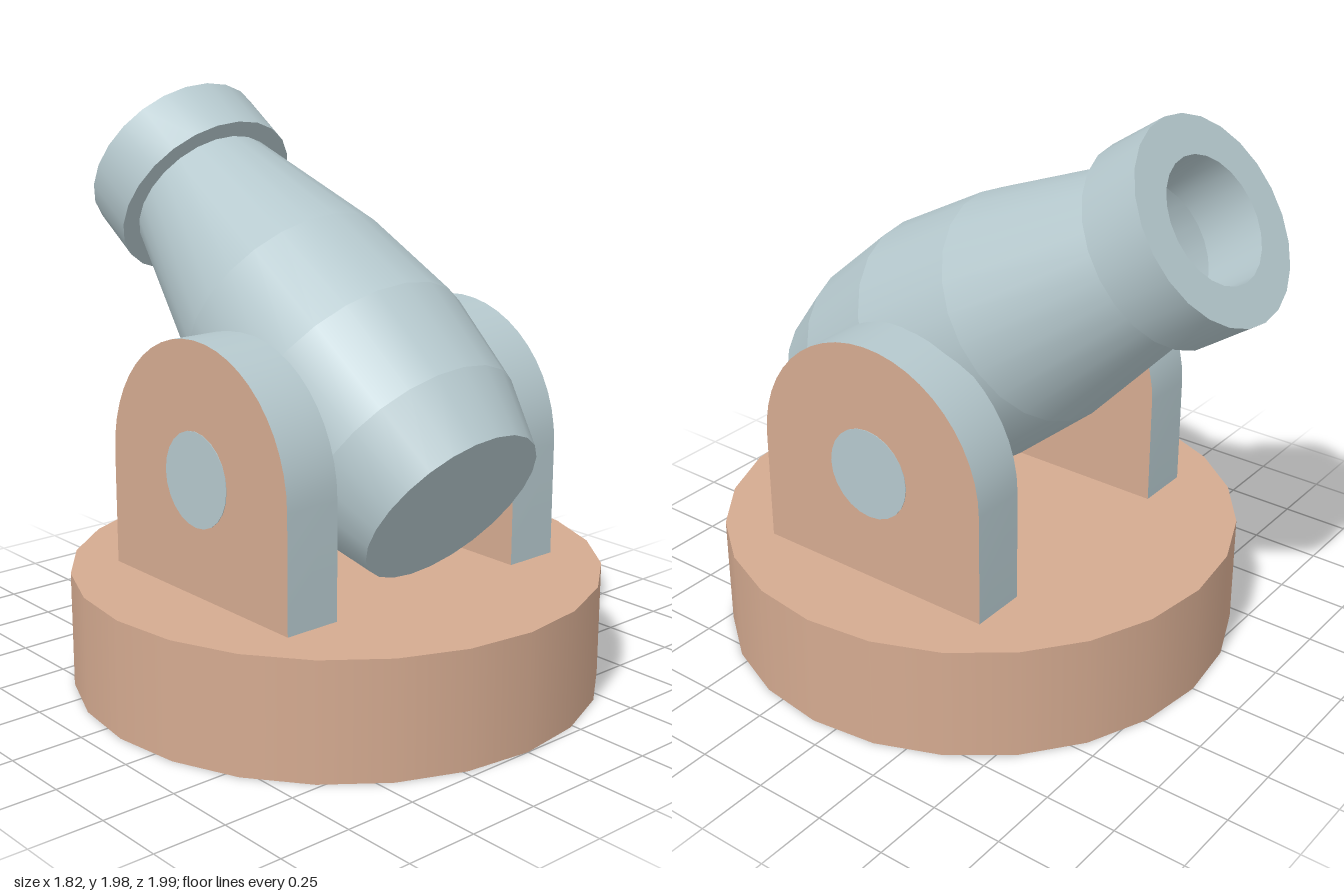
import * as THREE from 'three';
import { toCreasedNormals } from 'three/addons/utils/BufferGeometryUtils.js';

const tan = new THREE.MeshStandardMaterial({ color: 0xd4aa90 });
const steel = new THREE.MeshStandardMaterial({ color: 0xb5c8cd });
const steelShell = new THREE.MeshStandardMaterial({ color: 0xb5c8cd, side: THREE.DoubleSide });

const SIDES = 24;
const PIVOT_Z = 0.09;

function addMesh(parent, name, geometry, material) {
  const mesh = new THREE.Mesh(geometry, material);
  mesh.name = name;
  parent.add(mesh);
  return mesh;
}

// Upright plate with a rounded top, 0.2 thick along x
function bracketGeometry() {
  const r = 0.455;
  const shape = new THREE.Shape();
  shape.moveTo(-r, 0.4);
  shape.lineTo(r, 0.4);
  shape.lineTo(r, 0.795);
  shape.absarc(0, 0.795, r, 0, Math.PI, false);
  shape.closePath();
  const geo = new THREE.ExtrudeGeometry(shape, { depth: 0.2, bevelEnabled: false, curveSegments: 12 });
  geo.rotateY(Math.PI / 2);
  geo.translate(-0.1, 0, PIVOT_Z);
  return toCreasedNormals(geo, 0.5);
}

// Hollow barrel along local +y, from breech to muzzle ring
function createBarrel() {
  const barrel = new THREE.Group();
  barrel.name = 'barrel';

  // [distance along the axis, radius]
  const profile = [[0, 0.33], [0.232, 0.408], [0.578, 0.448], [0.965, 0.408], [1.535, 0.278]];
  for (let i = 0; i < profile.length - 1; i++) {
    const [y0, r0] = profile[i];
    const [y1, r1] = profile[i + 1];
    const section = new THREE.CylinderGeometry(r1, r0, y1 - y0, SIDES, 1, true);
    section.translate(0, (y0 + y1) / 2, 0);
    addMesh(barrel, 'barrelSection' + (i + 1), section, steelShell);
  }

  // Flat breech
  const breech = new THREE.CircleGeometry(profile[0][1], SIDES);
  breech.rotateX(Math.PI / 2);
  addMesh(barrel, 'breech', breech, steelShell);

  // Muzzle ring with open bore
  const ringProfile = [[0.21, 1.535], [0.342, 1.535], [0.342, 1.753], [0.21, 1.753], [0.21, 1.535]]
    .map(([r, y]) => new THREE.Vector2(r, y));
  addMesh(barrel, 'muzzleRing', toCreasedNormals(new THREE.LatheGeometry(ringProfile, SIDES), 0.5), steel);

  barrel.position.set(0, 0.7125, 0.649);
  barrel.rotation.x = -0.972;
  return barrel;
}

export function createModel() {
  const model = new THREE.Group();
  model.name = 'cannon';

  // Round base
  const base = addMesh(model, 'base', new THREE.CylinderGeometry(0.91, 0.91, 0.4, SIDES), tan);
  base.position.set(0, 0.2, PIVOT_Z);

  // Side brackets: tan faces, steel rim
  const plate = bracketGeometry();
  for (const [name, side] of [['leftBracket', 1], ['rightBracket', -1]]) {
    addMesh(model, name, plate, [tan, steel]).position.x = side * 0.495;
  }

  // Pivot pin, just proud of the brackets
  const pin = addMesh(model, 'pivotPin', new THREE.CylinderGeometry(0.16, 0.16, 1.194, SIDES), steel);
  pin.rotation.z = Math.PI / 2;
  pin.position.set(0, 0.795, PIVOT_Z);

  model.add(createBarrel());
  return model;
}
